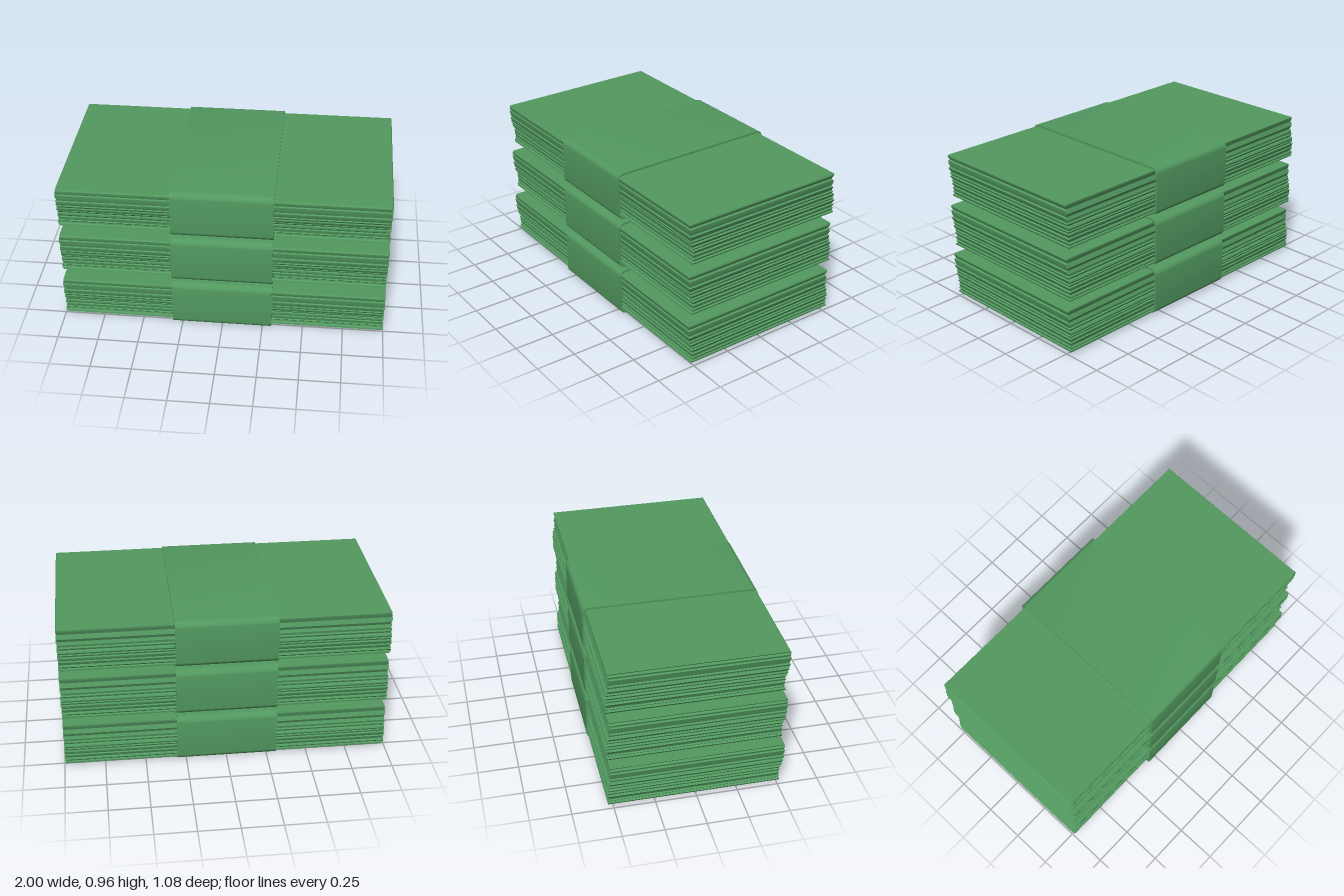
import * as THREE from 'three';
import { toCreasedNormals } from 'three/addons/utils/BufferGeometryUtils.js';

// Edge of the loose sheets: height, front z, back z, end x
const LAYERS = [
  [0.020, 0.515, -0.532, 0.992], [0.030, 0.513, -0.533, 0.996], [0.036, 0.505, -0.526, 0.987],
  [0.046, 0.504, -0.533, 0.990], [0.053, 0.510, -0.530, 0.997], [0.058, 0.504, -0.525, 0.988],
  [0.078, 0.509, -0.533, 0.995], [0.084, 0.503, -0.526, 0.986], [0.094, 0.510, -0.532, 0.993],
  [0.106, 0.510, -0.534, 0.998], [0.111, 0.505, -0.525, 0.989], [0.122, 0.514, -0.531, 0.996],
  [0.127, 0.512, -0.525, 0.988], [0.138, 0.522, -0.531, 0.993], [0.148, 0.524, -0.527, 0.998],
  [0.153, 0.520, -0.518, 0.988], [0.166, 0.529, -0.524, 0.994], [0.172, 0.524, -0.516, 0.987],
  [0.188, 0.532, -0.519, 0.994], [0.201, 0.534, -0.511, 1.000], [0.206, 0.527, -0.510, 0.989],
  [0.225, 0.533, -0.519, 0.996], [0.246, 0.535, -0.512, 0.998], [0.252, 0.529, -0.509, 0.988],
  [0.266, 0.535, -0.513, 0.996], [0.277, 0.536, -0.518, 0.999], [0.285, 0.530, -0.518, 0.995],
];

// Loft of rectangles following the ragged sheet edges
function sheetsGeometry() {
  const pos = [], index = [];
  LAYERS.forEach(([y, front, back, x], i) => {
    const left = x, right = -(0.985 + ((i * 7) % 5) * 0.003);
    pos.push(left, y, front, left, y, back, right, y, back, right, y, front);
  });
  const last = (LAYERS.length - 1) * 4;
  for (let r = 0; r < last; r += 4) {
    for (let k = 0; k < 4; k++) {
      const a = r + k, b = r + (k + 1) % 4;
      index.push(a, b, b + 4, a, b + 4, a + 4);
    }
  }
  index.push(0, 2, 1, 0, 3, 2, last, last + 1, last + 2, last, last + 2, last + 3);
  const g = new THREE.BufferGeometry();
  g.setAttribute('position', new THREE.Float32BufferAttribute(pos, 3));
  g.setIndex(index);
  return toCreasedNormals(g, 0.6);
}

function roundedRect(path, w, h, r) {
  const arc = (x, y, start) => path.absarc(x, y, r, start, start + Math.PI / 2, false);
  const x = w / 2 - r, y = h / 2 - r;
  arc(x, y, 0);
  arc(-x, y, Math.PI / 2);
  arc(-x, -y, Math.PI);
  arc(x, -y, Math.PI * 1.5);
  path.closePath();
  return path;
}

// Hollow paper band wrapped around the middle
function bandGeometry() {
  const shape = roundedRect(new THREE.Shape(), 1.084, 0.303, 0.04);
  shape.holes.push(roundedRect(new THREE.Path(), 1.06, 0.277, 0.028));
  const g = new THREE.ExtrudeGeometry(shape, { depth: 0.616, bevelEnabled: false, curveSegments: 6 });
  g.translate(0, 0, -0.31);
  g.rotateY(Math.PI / 2);
  g.translate(0, 0.1515, 0);
  return toCreasedNormals(g, 0.6);
}

export function createModel() {
  const model = new THREE.Group();
  model.name = 'noteBundles';
  const green = new THREE.MeshStandardMaterial({ color: 0x52985f });
  green.name = 'paperGreen';
  const sheets = sheetsGeometry(), band = bandGeometry();

  for (let i = 0; i < 3; i++) {
    const bundle = new THREE.Group();
    bundle.name = 'bundle' + (i + 1);
    for (const [name, geometry] of [['sheets', sheets], ['paperBand', band]]) {
      const mesh = new THREE.Mesh(geometry, green);
      mesh.name = name;
      bundle.add(mesh);
    }
    bundle.position.y = i * 0.33;
    model.add(bundle);
  }
  return model;
}
